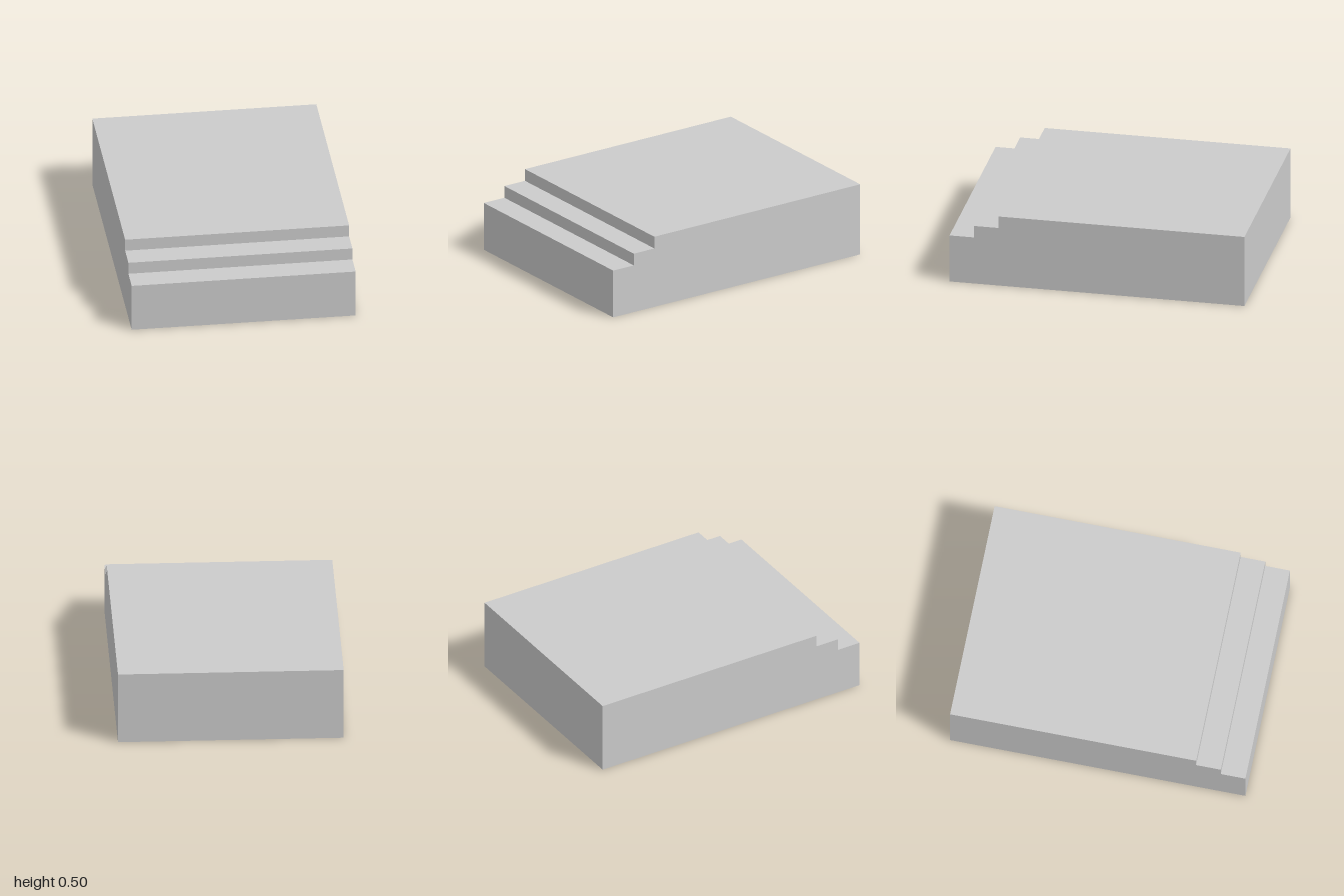
import * as THREE from 'three';

const WIDTH = 1.5;
const TREAD = 1 / 6;
const RISE = 1 / 12;
const FIRST_STEP = 1 / 3;
const STEPS = 2;

export function createModel() {
  const group = new THREE.Group();
  group.name = 'steppedPlatform';

  // Side profile: shape x becomes model z, steps climb from the front edge
  const profile = new THREE.Shape();
  profile.moveTo(-1, 0);
  profile.lineTo(1, 0);
  profile.lineTo(1, FIRST_STEP);
  for (let i = 1; i <= STEPS; i++) {
    const z = 1 - i * TREAD;
    profile.lineTo(z, FIRST_STEP + (i - 1) * RISE);
    profile.lineTo(z, FIRST_STEP + i * RISE);
  }
  profile.lineTo(-1, FIRST_STEP + STEPS * RISE);
  profile.closePath();

  // Solid platform with its front steps, extruded across the width
  const geometry = new THREE.ExtrudeGeometry(profile, { depth: WIDTH, bevelEnabled: false });
  geometry.translate(0, 0, -WIDTH / 2);
  geometry.rotateY(-Math.PI / 2);

  const material = new THREE.MeshStandardMaterial({ color: 0xcccccc, flatShading: true });
  const platform = new THREE.Mesh(geometry, material);
  platform.name = 'platformWithSteps';
  group.add(platform);
  return group;
}
